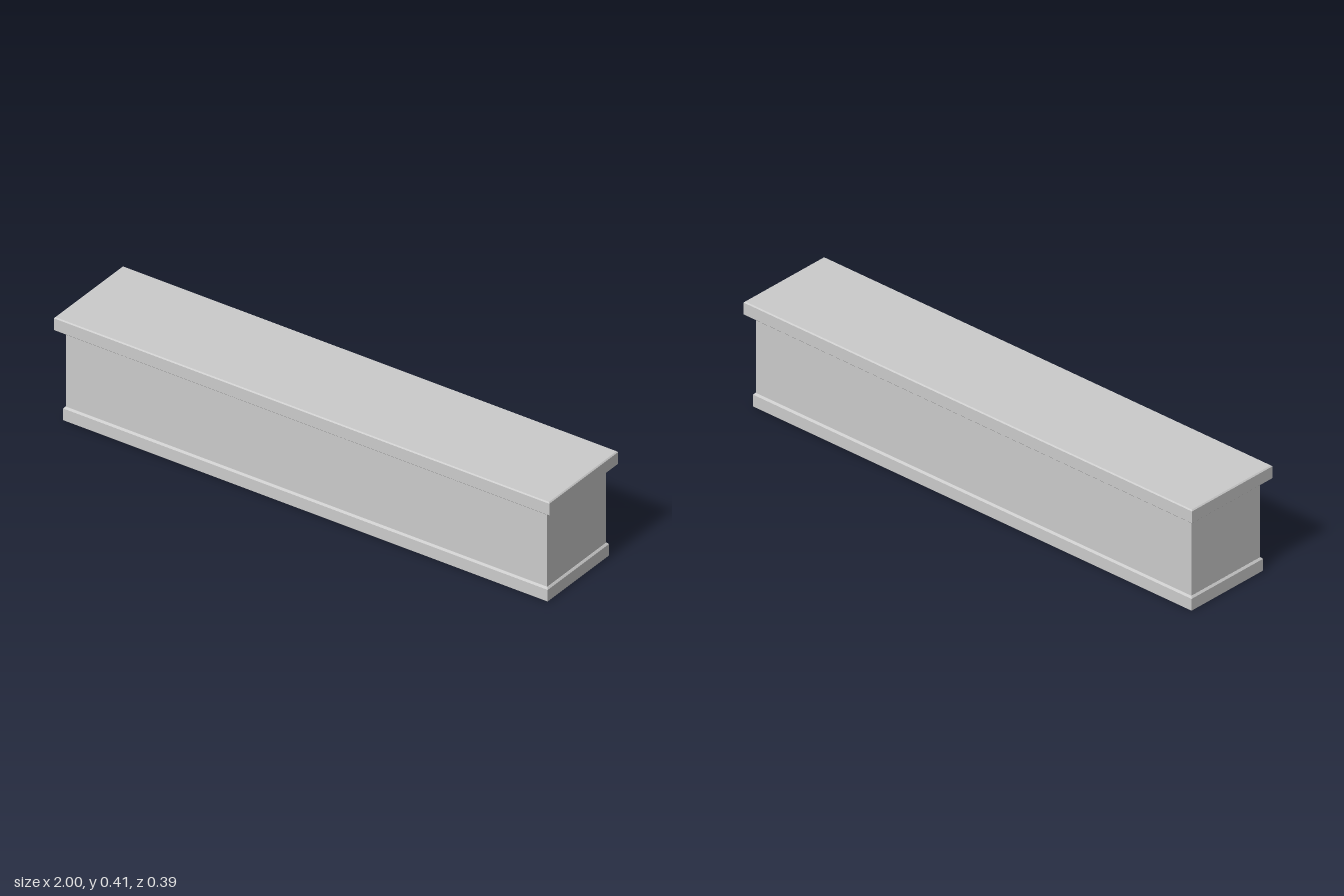
import * as THREE from 'three';

const HALF_X = 1, HALF_Z = 0.197;
const CORNERS = [[1, 1], [1, -1], [-1, -1], [-1, 1]];

// Closed rectangular moulding: profile is a list of [inset, y] from bottom to top.
function moulding(name, profile, material) {
  const positions = [];
  const point = ([inset, y], i) => {
    const [sx, sz] = CORNERS[i % 4];
    return [sx * (HALF_X - inset), y, sz * (HALF_Z - inset)];
  };
  const quad = (a, b, c, d) => positions.push(...a, ...b, ...c, ...a, ...c, ...d);

  for (let k = 0; k < profile.length - 1; k++) {
    const low = profile[k], high = profile[k + 1];
    for (let i = 0; i < 4; i++) {
      quad(point(low, i), point(low, i + 1), point(high, i + 1), point(high, i));
    }
  }
  const bottom = profile[0], top = profile[profile.length - 1];
  quad(...[0, 1, 2, 3].map(i => point(top, i)));
  quad(...[3, 2, 1, 0].map(i => point(bottom, i)));

  const geometry = new THREE.BufferGeometry();
  geometry.setAttribute('position', new THREE.Float32BufferAttribute(positions, 3));
  geometry.computeVertexNormals();
  const mesh = new THREE.Mesh(geometry, material);
  mesh.name = name;
  return mesh;
}

export function createModel() {
  const group = new THREE.Group();
  group.name = 'counter';
  const grey = new THREE.MeshStandardMaterial({ color: 0xcccccc, flatShading: true });

  // Plinth with a sloped upper edge that meets the body
  group.add(moulding('base', [
    [0.024, 0], [0.022, 0.002], [0.022, 0.047], [0.028, 0.054],
  ], grey));

  // Plain box body
  group.add(moulding('body', [[0.0285, 0.05], [0.0285, 0.354]], grey));

  // Overhanging top slab with fine bevels
  group.add(moulding('topSlab', [
    [0.003, 0.353], [0, 0.356], [0, 0.401], [0.004, 0.405],
  ], grey));

  return group;
}
